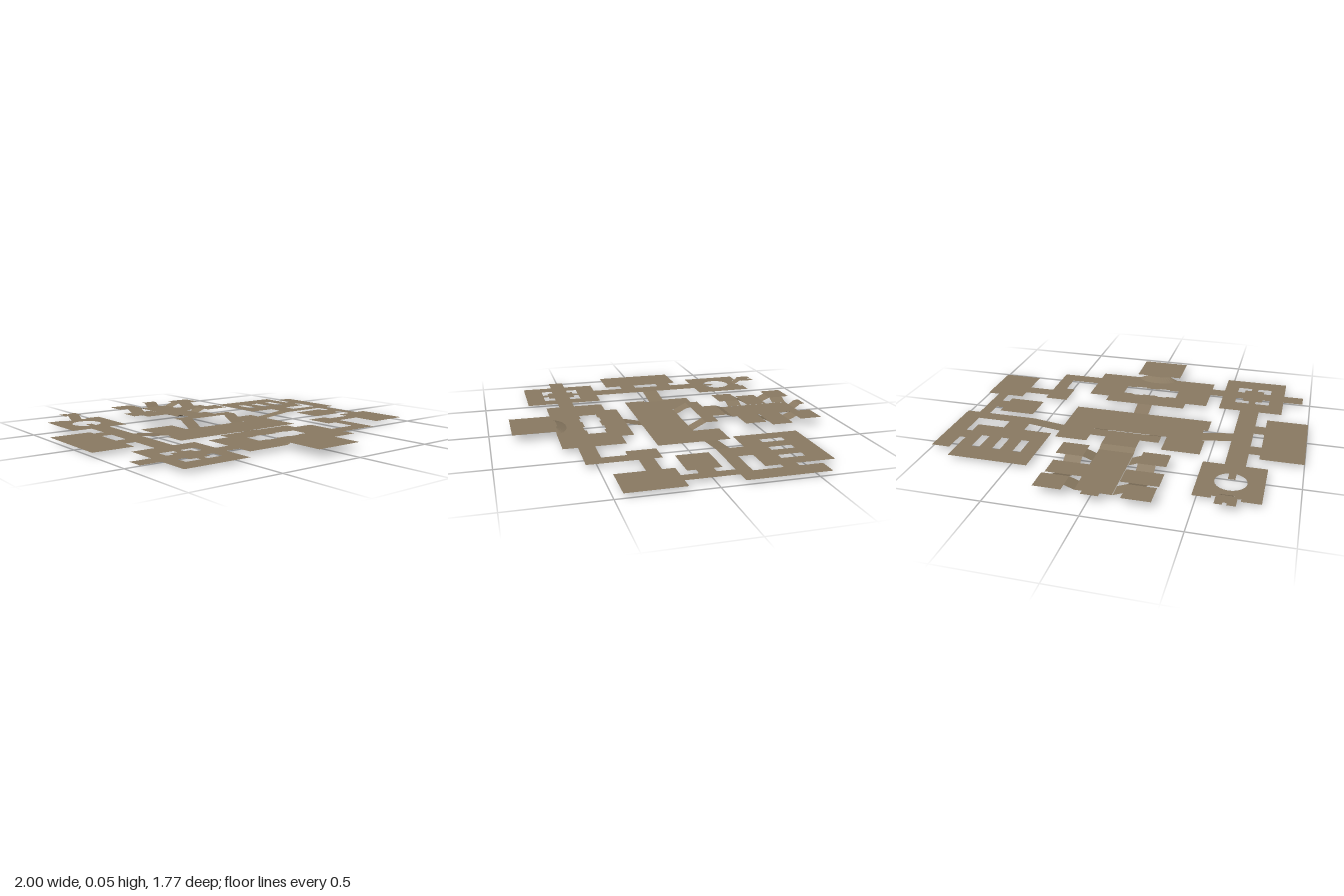
import * as THREE from 'three';

const stone = new THREE.MeshStandardMaterial({ color: 0x8a7a62, side: THREE.DoubleSide });
stone.name = 'warm stone';

// Floor levels
const HALL = 0, WING = 0.02, NAVE = 0.025, PORCH = 0.04, UPPER = 0.045;
const MID = -0.0145; // mirror axis of the nave

const rectPoints = (x0, x1, z0, z1) => [[x0, z0], [x1, z0], [x1, z1], [x0, z1]];
const vectors = points => points.map(([x, z]) => new THREE.Vector2(x, -z));

export function createModel() {
  const group = new THREE.Group();

  const add = (name, geometry) => {
    const mesh = new THREE.Mesh(geometry, stone);
    mesh.name = name;
    group.add(mesh);
  };

  // Flat floor from an outline in (x, z), with optional holes
  const floor = (name, y, outline, holes = []) => {
    const shape = new THREE.Shape(vectors(outline));
    holes.forEach(h => shape.holes.push(new THREE.Path(vectors(h))));
    add(name, new THREE.ShapeGeometry(shape).rotateX(-Math.PI / 2).translate(0, y, 0));
  };
  const slab = (name, y, x0, x1, z0, z1, holes) => floor(name, y, rectPoints(x0, x1, z0, z1), holes);

  // Sloping floor from height ya at the low coordinate to yb at the high one
  const ramp = (name, axis, ya, yb, x0, x1, z0, z1) => {
    const geo = new THREE.PlaneGeometry(x1 - x0, z1 - z0).rotateX(-Math.PI / 2)
      .translate((x0 + x1) / 2, 0, (z0 + z1) / 2);
    const p = geo.attributes.position;
    for (let i = 0; i < p.count; i++) {
      const t = axis === 'x' ? (p.getX(i) - x0) / (x1 - x0) : (p.getZ(i) - z0) / (z1 - z0);
      p.setY(i, ya + (yb - ya) * t);
    }
    geo.computeVertexNormals();
    add(name, geo);
  };

  // Central hall with two side bays, raised gallery and stairs
  floor('centralHall', HALL, [[-0.445, -0.275], [-0.23, -0.275], [-0.23, -0.12], [0.2, -0.12],
    [0.2, -0.275], [0.385, -0.275], [0.385, 0.135], [-0.445, 0.135], [-0.445, 0.01],
    [-0.42, 0.01], [-0.42, -0.115], [-0.445, -0.115]]);
  slab('gallery', PORCH, -0.215, 0.19, -0.275, -0.2);
  ramp('leftGalleryStair', 'z', PORCH, HALL, 0.105, 0.19, -0.2, -0.12);
  ramp('rightGalleryStair', 'z', PORCH, HALL, -0.215, -0.13, -0.2, -0.12);

  // Nave behind the gallery
  slab('navePassage', PORCH, -0.11, 0.085, -0.36, -0.275);
  ramp('naveRamp', 'z', NAVE, PORCH, -0.11, 0.085, -0.4, -0.36);
  slab('nave', NAVE, -0.11, 0.085, -0.825, -0.4);
  ramp('naveBackStair', 'z', 0.05, NAVE, -0.06, 0.03, -0.86, -0.825);
  slab('naveBackLanding', 0.05, -0.06, 0.03, -0.89, -0.86);

  // Side chapels, mirrored about the nave
  for (const side of [-1, 1]) {
    const span = (near, far) => [MID + side * near, MID + side * far].sort((a, b) => a - b);
    const room = span(0.15, 0.3), link = span(0.15, 0.245), door = span(0.098, 0.15);
    slab('backChapel', UPPER, ...room, -0.87, -0.74);
    slab('middleChapel', NAVE, ...room, -0.695, -0.57);
    slab('frontChapel', UPPER, ...room, -0.53, -0.405);
    ramp('backChapelStair', 'z', UPPER, NAVE, ...link, -0.74, -0.695);
    ramp('frontChapelStair', 'z', NAVE, UPPER, ...link, -0.57, -0.53);
    slab('middleChapelDoor', NAVE, ...door, -0.695, -0.57);
    const ends = side < 0 ? [UPPER, NAVE] : [NAVE, UPPER];
    ramp('backChapelDoor', 'x', ...ends, ...door, -0.825, -0.74);
    ramp('frontChapelDoor', 'x', ...ends, ...door, -0.53, -0.445);
  }

  // Round-well room with a walkway reaching into the well
  const well = [], r = 0.083, a0 = 0.23;
  for (let i = 0; i <= 40; i++) {
    const a = a0 + (2 * Math.PI - 2 * a0) * i / 40;
    well.push([-0.65 + r * Math.sin(a), -0.55 + r * Math.cos(a)]);
  }
  well.push([-0.669, -0.525], [-0.631, -0.525]);
  floor('wellRoom', WING, [[-0.82, -0.72], [-0.72, -0.72], [-0.72, -0.7], [-0.685, -0.7],
    [-0.685, -0.675], [-0.615, -0.675], [-0.615, -0.7], [-0.575, -0.7], [-0.575, -0.72],
    [-0.48, -0.72], [-0.48, -0.38], [-0.82, -0.38]], [well]);
  ramp('wellRoomStair', 'z', UPPER, WING, -0.685, -0.615, -0.72, -0.675);
  floor('wellRoomLanding', UPPER, [[-0.705, -0.805], [-0.66, -0.805], [-0.66, -0.785],
    [-0.64, -0.785], [-0.64, -0.805], [-0.6, -0.805], [-0.6, -0.72], [-0.705, -0.72]]);

  // Right-hand wing: long corridor and large side room
  slab('longCorridor', WING, -0.705, -0.595, -0.38, 0.29);
  slab('sideRoom', WING, -1, -0.765, -0.285, 0.195);
  slab('sideRoomBackDoor', WING, -0.765, -0.705, -0.24, -0.15);
  slab('sideRoomFrontDoor', WING, -0.765, -0.705, 0.005, 0.1);
  ramp('rightHallRamp', 'x', WING, HALL, -0.595, -0.42, -0.115, -0.02);

  // Courtyard room: four L-shaped openings around a central block
  const openings = [];
  for (const sx of [-1, 1]) for (const sz of [-1, 1]) {
    openings.push([[0.02, 0.113], [0.103, 0.113], [0.103, 0.047], [0.06, 0.047], [0.06, 0.08], [0.02, 0.08]]
      .map(([x, z]) => [-0.652 + sx * x, 0.517 + sz * z]));
  }
  slab('courtyardRoom', WING, -0.84, -0.465, 0.29, 0.74, openings);
  slab('courtyardExit', WING, -0.955, -0.84, 0.47, 0.56);
  slab('courtyardPassage', WING, -0.465, -0.385, 0.47, 0.56);

  // Front room with a notched central opening and a recess for the curved steps
  const arc = [], top = [], n = 16;
  for (let i = 0; i <= n; i++) {
    const a = Math.PI * i / n;
    arc.push([-0.0125 + 0.125 * Math.cos(a), 0.64 - 0.07 * Math.sin(a)]);
    top.push([-0.0125 + 0.075 * Math.cos(a), 0.64 - 0.015 * Math.sin(a)]);
  }
  floor('frontRoom', WING, [[-0.385, 0.3], [-0.255, 0.3], [-0.255, 0.23], [0.235, 0.23],
    [0.235, 0.3], [0.36, 0.3], [0.36, 0.64], ...arc, [-0.385, 0.64]],
  [[[-0.18, 0.37], [-0.12, 0.37], [-0.12, 0.36], [-0.06, 0.36], [-0.06, 0.37], [0.03, 0.37],
    [0.03, 0.36], [0.095, 0.36], [0.095, 0.37], [0.155, 0.37], [0.155, 0.47], [0.095, 0.47],
    [0.095, 0.48], [0.03, 0.48], [0.03, 0.47], [-0.06, 0.47], [-0.06, 0.48], [-0.12, 0.48],
    [-0.12, 0.47], [-0.18, 0.47]]]);
  ramp('frontHallRamp', 'z', HALL, WING, -0.06, 0.03, 0.135, 0.23);

  // Curved steps lofted from the floor arc up to the porch
  const verts = [], index = [];
  for (let i = 0; i <= n; i++) {
    verts.push(arc[i][0], WING, arc[i][1], top[i][0], PORCH, top[i][1]);
    if (i < n) index.push(2 * i, 2 * i + 2, 2 * i + 1, 2 * i + 1, 2 * i + 2, 2 * i + 3);
  }
  let steps = new THREE.BufferGeometry();
  steps.setAttribute('position', new THREE.Float32BufferAttribute(verts, 3));
  steps.setIndex(index.reverse());
  steps = steps.toNonIndexed();
  steps.computeVertexNormals();
  // Keep the lit side facing up
  if (steps.attributes.normal.getY(0) < 0) {
    steps.setIndex([...Array(steps.attributes.position.count).keys()].reverse());
    steps.computeVertexNormals();
  }
  add('curvedSteps', steps);
  floor('porch', PORCH, [[0.13, 0.64], ...top, [-0.155, 0.64], [-0.155, 0.88], [0.13, 0.88]]);

  // Left-hand wing: [name, x0, x1, z0, z1]
  ramp('leftHallRamp', 'x', HALL, WING, 0.385, 0.57, -0.2, -0.125);
  [
    ['crossCorridor', 0.57, 0.995, -0.2, -0.125],
    ['outerCorridor', 0.89, 0.995, -0.57, -0.2],
    ['pillarRoomSideDoor', 0.855, 0.89, -0.445, -0.36],
    ['pillarRoomDoor', 0.57, 0.695, -0.28, -0.2],
    ['linkCorridor', 0.855, 0.92, -0.125, 0.15],
    ['smallRoom', 0.6, 0.81, -0.075, 0.105],
    ['smallRoomDoor', 0.81, 0.855, -0.03, 0.06],
    ['cornerRoom', 0.76, 0.99, 0.15, 0.455],
    ['cornerRoomDoor', 0.61, 0.76, 0.215, 0.295],
  ].forEach(([name, ...box]) => slab(name, WING, ...box));
  slab('pillarRoom', WING, 0.405, 0.855, -0.655, -0.28,
    [0.49, 0.61, 0.73].map(x => rectPoints(x, x + 0.045, -0.53, -0.4)));
  floor('bentPassage', WING, [[0.36, 0.47], [0.53, 0.47], [0.53, 0.335], [0.475, 0.335],
    [0.475, 0.17], [0.61, 0.17], [0.61, 0.56], [0.36, 0.56]]);

  return group;
}
